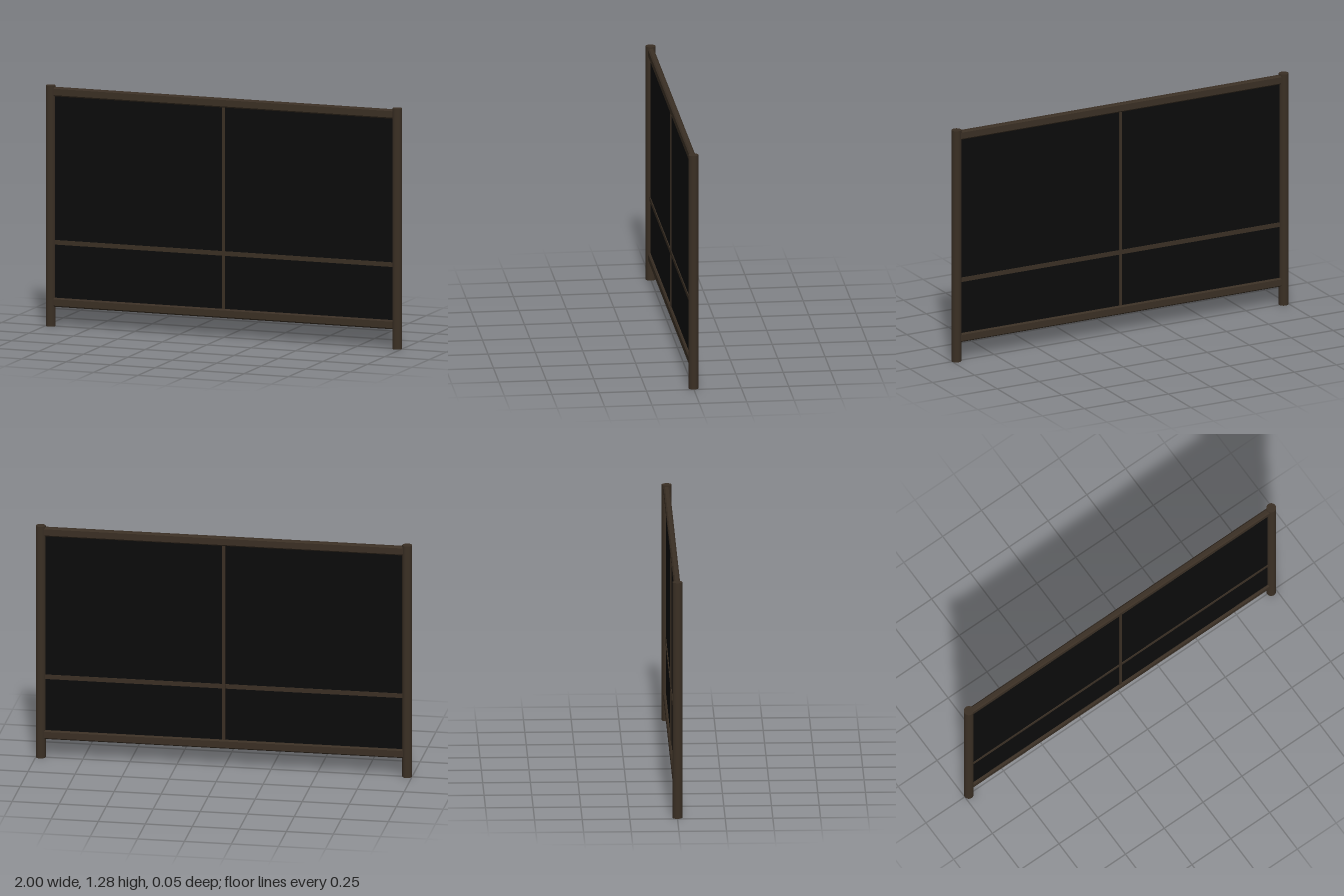
import * as THREE from 'three';

export function createModel() {
  const group = new THREE.Group();
  const frame = new THREE.MeshStandardMaterial({ color: 0x3a2f24 });
  frame.name = 'dark bronze frame';
  const dark = new THREE.MeshStandardMaterial({ color: 0x0b0b0b });
  dark.name = 'black panel';

  const add = (name, geometry, material, x, y) => {
    const mesh = new THREE.Mesh(geometry, material);
    mesh.name = name;
    mesh.position.set(x, y, 0);
    group.add(mesh);
  };

  // Round end posts
  const postHeight = 1.28, postRadius = 0.026, postX = 1 - postRadius;
  for (const side of [-1, 1]) {
    add(side > 0 ? 'leftPost' : 'rightPost',
      new THREE.CylinderGeometry(postRadius, postRadius, postHeight, 32),
      frame, side * postX, postHeight / 2);
  }

  // Rails: a bar with chamfered long edges, running between the post centres
  const length = postX * 2, w = 0.016, h = 0.024, c = 0.007;
  const profile = new THREE.Shape([
    [w, -h + c], [w, h - c], [w - c, h], [c - w, h],
    [-w, h - c], [-w, c - h], [c - w, -h], [w - c, -h],
  ].map(([x, y]) => new THREE.Vector2(x, y)));
  const rail = new THREE.ExtrudeGeometry(profile, { depth: length, bevelEnabled: false });
  rail.translate(0, 0, -length / 2).rotateY(Math.PI / 2);
  add('topRail', rail, frame, 0, 1.248);
  add('bottomRail', rail, frame, 0, 0.128);

  // Infill panel and the slim dividers standing proud of both faces
  add('panel', new THREE.BoxGeometry(length, 1.12, 0.008), dark, 0, 0.688);
  add('horizontalDivider', new THREE.BoxGeometry(length, 0.024, 0.016), frame, 0, 0.447);
  add('verticalDivider', new THREE.BoxGeometry(0.016, 1.12, 0.018), frame, 0, 0.688);

  return group;
}
